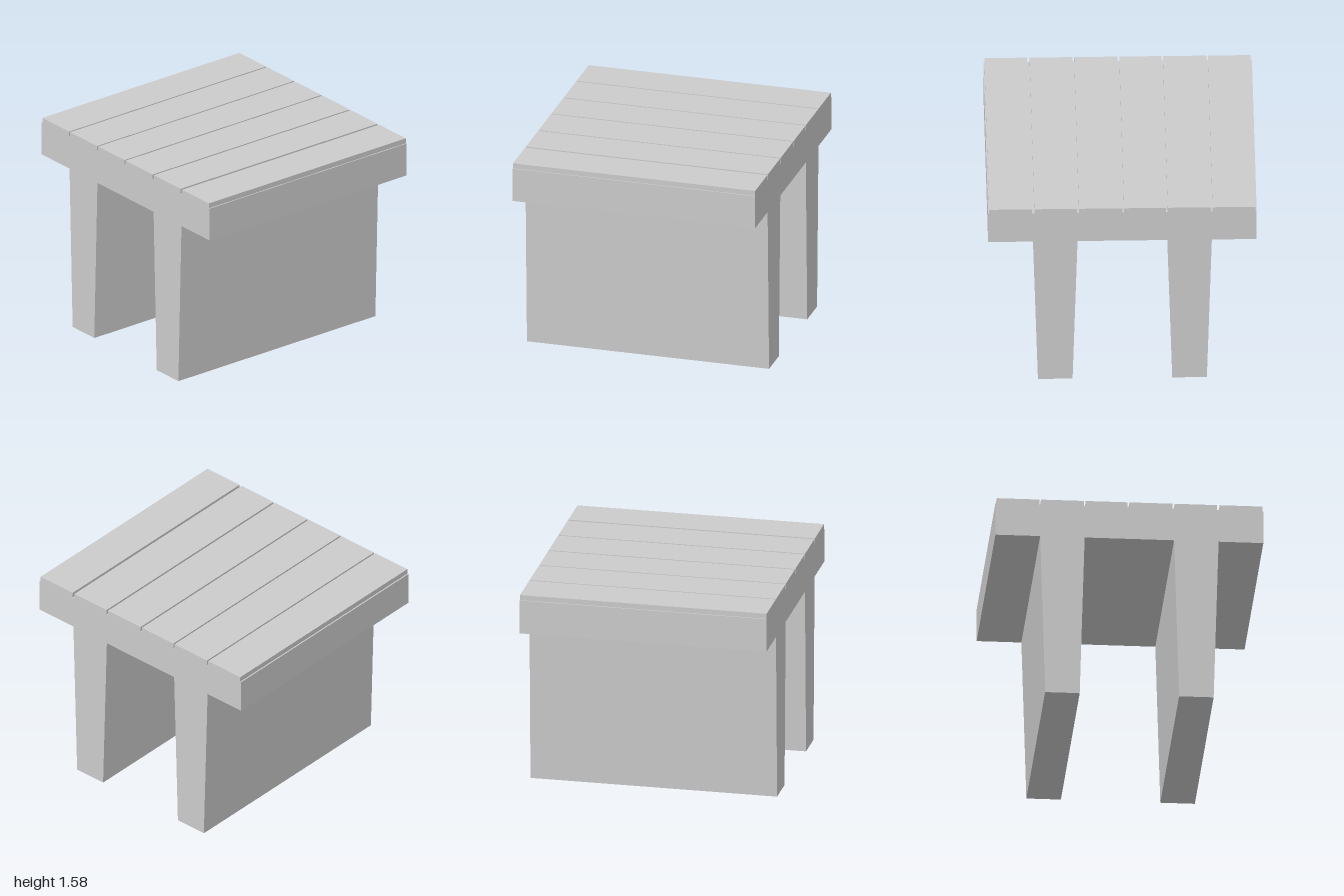
import * as THREE from 'three';

const DEPTH = 1.88;
const TOP = 1.58, GROOVE_FLOOR = 1.54, DECK_BOTTOM = 1.28;

export function createModel() {
  const group = new THREE.Group();
  group.name = 'doubleTeeBeam';

  // Underside, left to right: deck overhangs and two tapering stems
  const points = [[-1, DECK_BOTTOM]];
  for (const x of [-0.5, 0.5]) {
    points.push(
      [x - 0.166, DECK_BOTTOM], [x - 0.129, 0],
      [x + 0.129, 0], [x + 0.166, DECK_BOTTOM]
    );
  }
  points.push([1, DECK_BOTTOM]);

  // Deck top, right to left: a rebate at each edge and five grooves between
  const grooves = [
    [1, 0.992], [0.674, 0.655], [0.337, 0.323], [0, -0.013],
    [-0.326, -0.338], [-0.66, -0.672], [-0.99, -1]
  ];
  grooves.forEach(([right, left], i) => {
    if (i > 0) points.push([right, TOP]);
    points.push([right, GROOVE_FLOOR], [left, GROOVE_FLOOR]);
    if (i < grooves.length - 1) points.push([left, TOP]);
  });

  // One continuous section, extruded from back to front
  const shape = new THREE.Shape(points.map(([x, y]) => new THREE.Vector2(x, y)));
  const geometry = new THREE.ExtrudeGeometry(shape, { depth: DEPTH, bevelEnabled: false });
  geometry.translate(0, 0, -DEPTH / 2);

  const beam = new THREE.Mesh(
    geometry,
    new THREE.MeshStandardMaterial({ color: 0xcccccc, flatShading: true })
  );
  beam.name = 'groovedDeckWithStems';
  group.add(beam);
  return group;
}
